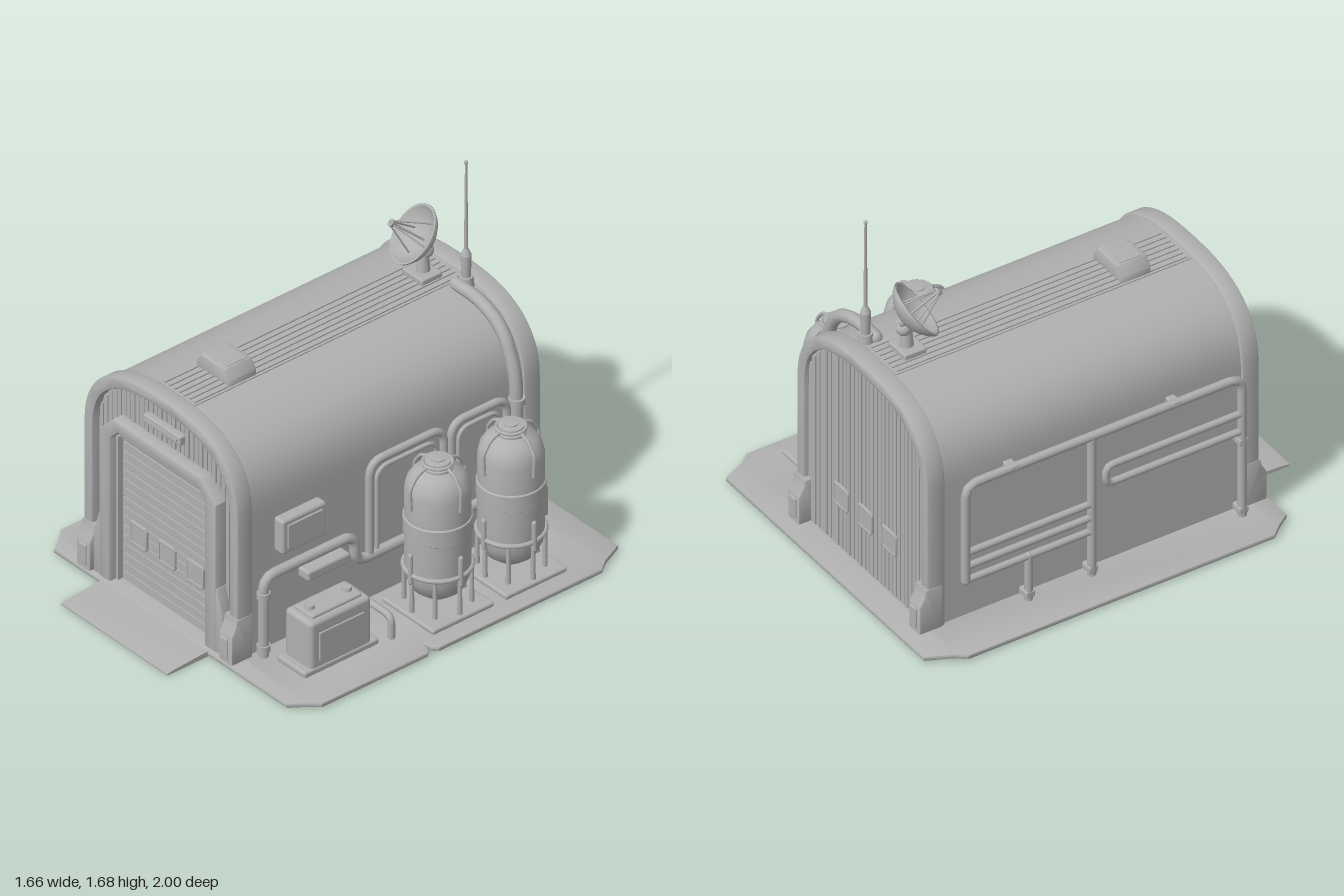
import * as THREE from 'three';
import { toCreasedNormals } from 'three/addons/utils/BufferGeometryUtils.js';
import { RoundedBoxGeometry } from 'three/addons/geometries/RoundedBoxGeometry.js';

const CX = -0.11; // centre line of the hut
const grey = new THREE.MeshStandardMaterial({ color: 0xb0b0b0, side: THREE.DoubleSide });
grey.name = 'grey';

const V = (x, y, z) => new THREE.Vector3(x, y, z);

function add(parent, name, geo, x = 0, y = 0, z = 0) {
  const mesh = new THREE.Mesh(geo, grey);
  mesh.name = name;
  mesh.position.set(x, y, z);
  parent.add(mesh);
  return mesh;
}
function group(parent, name, x = 0, y = 0, z = 0) {
  const g = new THREE.Group();
  g.name = name;
  g.position.set(x, y, z);
  parent.add(g);
  return g;
}
const box = (w, h, d, r = 0) => r ? new RoundedBoxGeometry(w, h, d, 2, r) : new THREE.BoxGeometry(w, h, d);
const cyl = (rt, rb, h, n = 20) => new THREE.CylinderGeometry(rt, rb, h, n);

// Extrude a list of [x, y] points along z
function extrude(pts, depth, bevel = 0, hole) {
  const shape = new THREE.Shape(pts.map(p => new THREE.Vector2(...p)));
  if (hole) shape.holes.push(new THREE.Path(hole.map(p => new THREE.Vector2(...p))));
  const geo = new THREE.ExtrudeGeometry(shape, {
    depth: depth - 2 * bevel, bevelEnabled: bevel > 0, bevelSize: bevel,
    bevelThickness: bevel, bevelOffset: -bevel, bevelSegments: 2 });
  geo.translate(0, 0, bevel);
  return toCreasedNormals(geo, 0.6);
}

// Pipe along points with rounded bends
function pipe(parent, name, pts, r, bend = 0.06) {
  const path = new THREE.CurvePath();
  let from = pts[0];
  for (let i = 1; i < pts.length; i++) {
    const p = pts[i], next = pts[i + 1];
    if (!next) { path.add(new THREE.LineCurve3(from, p)); break; }
    const a = p.clone().add(from.clone().sub(p).setLength(bend));
    const b = p.clone().add(next.clone().sub(p).setLength(bend));
    path.add(new THREE.LineCurve3(from, a));
    path.add(new THREE.QuadraticBezierCurve3(a, p, b));
    from = b;
  }
  add(parent, name, new THREE.TubeGeometry(path, pts.length > 2 ? 64 : 2, r, 10));
  for (const end of [pts[0], pts[pts.length - 1]])
    add(parent, name + 'End', new THREE.SphereGeometry(r, 10, 8), end.x, end.y, end.z);
}

// Hut outline: straight walls with a flattened arch on top
const Y0 = 0.7;
function arch(inset, n = 40) {
  const a = 0.49 - inset, b = 0.385 - inset, e = 2 / 2.6, pts = [[CX + a, 0.02]];
  for (let i = 0; i <= n; i++) {
    const t = Math.PI * i / n, c = Math.cos(t), s = Math.max(0, Math.sin(t));
    pts.push([CX + Math.sign(c) * a * Math.abs(c) ** e, Y0 + b * s ** e]);
  }
  pts.push([CX - a, 0.02]);
  return pts;
}
const archY = (x, inset) =>
  Y0 + (0.385 - inset) * (1 - Math.min(1, Math.abs(x - CX) / (0.49 - inset)) ** 2.6) ** (1 / 2.6);
const gate = (half, top, cut) => [[CX + half, 0.02], [CX + half, top - cut], [CX + half - cut, top],
  [CX - half + cut, top], [CX - half, top - cut], [CX - half, 0.02]];
const band = (outer, inner) => [...outer, ...inner.reverse()];

function buildGround(root) {
  // Slab with notched corners, open under the hut
  const pts = [[-0.74, -1], [-0.79, -0.89], [-0.83, -0.84], [-0.83, 0.67], [-0.785, 0.72], [-0.74, 0.785],
    [0.74, 0.785], [0.785, 0.72], [0.83, 0.67], [0.83, 0.1], [0.81, 0.08], [0.76, 0.07], [0.81, 0.06],
    [0.83, 0.04], [0.83, -0.84], [0.79, -0.89], [0.74, -1]].map(([x, z]) => [x, -z]);
  const hole = [[-0.57, 0.84], [0.35, 0.84], [0.35, -0.69], [-0.57, -0.69]];
  const geo = extrude(pts, 0.022, 0.006, hole).rotateX(-Math.PI / 2);
  add(root, 'groundSlab', geo, 0, 0.006, 0);
  const ramp = extrude([[0.74, 0], [1, 0], [1, 0.008], [0.97, 0.014], [0.74, 0.028]], 0.675);
  add(root, 'entryRamp', ramp.rotateY(-Math.PI / 2), 0.235, 0, 0);
}

function buildHut(root) {
  const hut = group(root, 'hut');
  add(hut, 'roofShell', extrude(band(arch(0.012), arch(0.03)), 1.5), 0, 0, -0.83);
  add(hut, 'frontRib', extrude(band(arch(0), arch(0.055)), 0.085, 0.012), 0, 0, 0.66);
  add(hut, 'backRib', extrude(band(arch(0), arch(0.055)), 0.09, 0.012), 0, 0, -0.89);

  // Corner boots
  const boot = extrude([[0, 0], [0.115, 0], [0.115, 0.14], [0.09, 0.185], [0.085, 0.22], [0, 0.22]], 0.085, 0.01);
  boot.rotateY(-Math.PI / 2).translate(0.0425, 0.02, 0);
  for (const s of [-1, 1]) {
    add(hut, 'frontBoot', boot, CX + s * 0.452, 0, 0.665);
    add(hut, 'backBoot', boot, CX + s * 0.452, 0, -0.815).rotation.y = Math.PI;
    add(hut, 'bootPlate', box(0.045, 0.1, 0.016, 0.006), CX + s * 0.45, 0.1, 0.78);
    add(hut, 'bootPlate', box(0.045, 0.1, 0.016, 0.006), CX + s * 0.45, 0.1, -0.93);
  }

  // Plank-clad end walls
  add(hut, 'frontWall', extrude(band(arch(0.04), gate(0.34, 0.82, 0.08)), 0.02), 0, 0, 0.685);
  add(hut, 'backWall', extrude(arch(0.04), 0.02), 0, 0, -0.865);
  for (let i = 0; i < 30; i++) {
    const x = CX + (i - 14.5) * 0.0287, top = archY(x, 0.055) - 0.004;
    const lowFront = Math.abs(x - CX) < 0.35 ? 0.8 : 0.02;
    const d = i % 3 === 1 ? 0.012 : 0.007;
    add(hut, 'frontPlank', box(0.022, top - lowFront, d), x, (top + lowFront) / 2, 0.706);
    add(hut, 'backPlank', box(0.022, top - 0.02, d), x, (top + 0.02) / 2, -0.866);
  }
  add(hut, 'frontVent', box(0.235, 0.045, 0.04, 0.008), CX, 0.928, 0.72);
  add(hut, 'ventSlot', box(0.2, 0.012, 0.006), CX, 0.928, 0.742);

  // Door with slats, frame and hatches
  const door = group(hut, 'door');
  add(door, 'doorFrame', extrude(band(gate(0.372, 0.845, 0.09), gate(0.3, 0.79, 0.05)), 0.085, 0.012), 0, 0, 0.68);
  add(door, 'doorPanel', box(0.62, 0.77, 0.015), CX, 0.405, 0.69);
  for (let i = 0; i < 16; i++) add(door, 'doorSlat', box(0.598, 0.04, 0.01), CX, 0.045 + i * 0.046, 0.699);
  const roller = add(door, 'doorRoller', cyl(0.022, 0.022, 0.54), CX, 0.765, 0.715);
  roller.rotation.z = Math.PI / 2;
  for (const s of [-1, 1]) {
    const jamb = extrude([[0, 0], [0.055, 0], [0.055, 0.2], [0.02, 0.32], [0, 0.32]], 0.08, 0.008);
    const m = add(door, 'jambFoot', jamb, CX + s * 0.355, 0.02, s > 0 ? 0.68 : 0.76);
    if (s < 0) m.rotation.y = Math.PI;
    add(door, 'doorTrack', box(0.014, 0.72, 0.03), CX + s * 0.293, 0.38, 0.715);
  }
  for (const x of [-0.18, 0, 0.18]) {
    for (const [z, o] of [[0.708, 1], [-0.872, -1]]) {
      const h = group(door, 'hatch', CX + x, 0.293, z);
      add(h, 'hatchFrame', extrude([[-0.055, -0.045], [-0.045, -0.057], [0.045, -0.057], [0.055, -0.045], [0.055, 0.045],
        [0.045, 0.057], [-0.045, 0.057], [-0.055, 0.045]], 0.016, 0.004,
      [[-0.042, -0.043], [0.042, -0.043], [0.042, 0.043], [-0.042, 0.043]]), 0, 0, -0.008);
      add(h, 'hatchPane', box(0.09, 0.09, 0.006), 0, 0, o * 0.001);
    }
  }

  // Ridge strip and roof vent
  add(hut, 'ridgeStrip', box(0.23, 0.02, 1.45), CX, 1.064, -0.07);
  for (let i = 0; i < 7; i++) add(hut, 'ridgeRib', box(0.014, 0.014, 1.43), CX - 0.096 + i * 0.032, 1.073, -0.07);
  add(hut, 'roofVent', extrude([[-0.107, 0], [0.107, 0], [0.105, 0.025], [0.075, 0.07], [-0.075, 0.07], [-0.105, 0.025]], 0.15, 0.008),
    CX, 1.075, 0.315);
  add(hut, 'roofVentLid', box(0.13, 0.008, 0.11, 0.003), CX, 1.145, 0.39);
}

function buildRoofGear(root) {
  // Satellite dish
  const dish = group(root, 'dish');
  add(dish, 'dishBase', box(0.13, 0.03, 0.11, 0.008), CX, 1.09, -0.665);
  add(dish, 'dishPost', cyl(0.022, 0.032, 0.1), CX, 1.14, -0.67);
  add(dish, 'dishJoint', new THREE.SphereGeometry(0.034, 16, 12), CX, 1.195, -0.685);
  const head = group(dish, 'dishHead', CX, 1.235, -0.69);
  head.quaternion.setFromUnitVectors(V(0, 1, 0), V(-0.05, 0.115, 0.13).normalize());
  const bowl = [[0.001, 0], [0.05, 0.008], [0.09, 0.026], [0.12, 0.05], [0.138, 0.074], [0.138, 0.08],
    [0.128, 0.08], [0.11, 0.056], [0.08, 0.034], [0.04, 0.02], [0.001, 0.016]].map(p => new THREE.Vector2(...p));
  add(head, 'dishBowl', toCreasedNormals(new THREE.LatheGeometry(bowl, 32), 0.7));
  add(head, 'dishHub', cyl(0.03, 0.02, 0.03), 0, -0.005, 0);
  for (let i = 0; i < 4; i++) {
    const a = i * Math.PI / 2 + 0.4, c = Math.cos(a), s = Math.sin(a);
    pipe(head, 'feedStrut', [V(c * 0.08, 0.035, s * 0.08), V(c * 0.015, 0.19, s * 0.015)], 0.004);
  }
  add(head, 'feedHorn', cyl(0.018, 0.01, 0.03, 12), 0, 0.19, 0);
  add(head, 'feedRod', cyl(0.005, 0.005, 0.2, 8), 0, 0.11, 0);

  // Whip antenna
  const mast = group(root, 'antenna', 0.045, 0, -0.77);
  add(mast, 'antennaFoot', cyl(0.03, 0.035, 0.05), 0, 1.085, 0);
  add(mast, 'antennaSleeve', cyl(0.023, 0.02, 0.11), 0, 1.16, 0);
  add(mast, 'antennaTaper', cyl(0.01, 0.023, 0.03), 0, 1.23, 0);
  add(mast, 'antennaRod', cyl(0.005, 0.009, 0.44, 10), 0, 1.455, 0);
  add(mast, 'antennaTip', new THREE.SphereGeometry(0.009, 10, 8), 0, 1.675, 0);
}

function buildTank(root, z) {
  const tank = group(root, 'tank', 0.585, 0, z);
  const profile = [[0.001, 0.08], [0.06, 0.09], [0.11, 0.13], [0.135, 0.19], [0.14, 0.24], [0.14, 0.4], [0.146, 0.405],
    [0.146, 0.48], [0.14, 0.485], [0.14, 0.61], [0.13, 0.655], [0.105, 0.69], [0.065, 0.712], [0.065, 0.722],
    [0.055, 0.725], [0.055, 0.748], [0.03, 0.752], [0.03, 0.757], [0.001, 0.757]].map(p => new THREE.Vector2(...p));
  add(tank, 'tankBody', toCreasedNormals(new THREE.LatheGeometry(profile, 32), 0.7));
  add(tank, 'tankPlate', box(0.33, 0.025, 0.33, 0.01), 0, 0.038, 0);
  add(tank, 'tankRing', new THREE.TorusGeometry(0.143, 0.011, 8, 32).rotateX(Math.PI / 2), 0, 0.235, 0);
  add(tank, 'capRing', new THREE.TorusGeometry(0.062, 0.008, 8, 24).rotateX(Math.PI / 2), 0, 0.738, 0);
  for (let i = 0; i < 8; i++) {
    const a = i * Math.PI / 4, c = Math.cos(a), s = Math.sin(a);
    const at = (r, y) => V(c * r, y, s * r);
    add(tank, 'tankLeg', cyl(0.009, 0.011, 0.19, 8), c * 0.14, 0.14, s * 0.14);
    if (i % 2) continue;
    pipe(tank, 'tankStrap', [at(0.144, 0.56), at(0.15, 0.66), at(0.11, 0.715), at(0.06, 0.735)], 0.008, 0.02);
    pipe(tank, 'tankClamp', [at(0.147, 0.2), at(0.147, 0.33)], 0.011);
  }
}

function buildRightSide(root) {
  for (const z of [-0.16, -0.555]) buildTank(root, z);
  const X = 0.41;
  // Duct curving down from the roof
  pipe(root, 'roofDuct', [V(0.03, 1.08, -0.73), V(0.19, 1.08, -0.73), V(0.33, 1.01, -0.73), V(0.41, 0.82, -0.73), V(0.415, 0.03, -0.73)], 0.029, 0.08);
  for (const y of [0.06, 0.27, 0.7]) add(root, 'ductCollar', cyl(0.036, 0.036, 0.03), 0.414, y, -0.73);
  // Wall pipes behind the tanks
  for (const [a, b] of [[0.06, -0.34], [-0.38, -0.68]]) {
    pipe(root, 'tankPipe', [V(X, 0.27, a), V(X, 0.735, a), V(X, 0.735, b), V(X, 0.27, b)], 0.018, 0.07);
    pipe(root, 'tankPipe', [V(X, 0.27, a - 0.04), V(X, 0.69, a - 0.04), V(X, 0.69, b + 0.04), V(X, 0.27, b + 0.04)], 0.01, 0.06);
  }
  pipe(root, 'supplyPipe', [V(X, 0.03, 0.63), V(X, 0.415, 0.63), V(X, 0.415, 0.14), V(X, 0.275, 0.14), V(X, 0.275, -0.7)], 0.023, 0.06);
  for (const y of [0.07, 0.33]) add(root, 'pipeCollar', cyl(0.029, 0.029, 0.03), X, y, 0.63);
  // Wall hatch and bracket
  add(root, 'wallHatch', box(0.06, 0.17, 0.24, 0.015), 0.395, 0.575, 0.42);
  add(root, 'wallHatchLid', box(0.014, 0.12, 0.19, 0.005), 0.425, 0.575, 0.42);
  add(root, 'wallBracket', box(0.07, 0.05, 0.23, 0.012), 0.4, 0.33, 0.295);
  // Generator
  const gen = group(root, 'generator', 0.56, 0, 0.41);
  add(gen, 'generatorBody', box(0.17, 0.25, 0.33, 0.022), 0, 0.155, 0);
  add(gen, 'generatorTop', box(0.12, 0.025, 0.27, 0.01), 0, 0.282, 0);
  add(gen, 'generatorFoot', box(0.18, 0.03, 0.4, 0.01), 0, 0.04, 0);
  add(gen, 'generatorPanel', box(0.01, 0.14, 0.24, 0.004), 0.086, 0.15, 0);
  for (const z of [-0.1, 0.1]) add(gen, 'generatorCap', cyl(0.02, 0.024, 0.02), 0, 0.3, z);
  pipe(root, 'smallHoop', [V(0.49, 0.03, 0.145), V(0.49, 0.135, 0.145), V(0.65, 0.135, 0.145), V(0.65, 0.03, 0.145)], 0.016, 0.04);
}

function buildLeftSide(root) {
  const X = -0.642;
  pipe(root, 'mainRail', [V(X, 0.25, -0.73), V(X, 0.735, -0.73), V(X, 0.735, 0.63), V(X, 0.03, 0.63)], 0.02);
  pipe(root, 'middlePost', [V(X, 0.03, -0.11), V(X, 0.735, -0.11)], 0.02);
  for (const y of [0.25, 0.32, 0.39]) pipe(root, 'lowerBar', [V(X, y, -0.73), V(X, y, -0.11)], 0.016);
  pipe(root, 'lowerDrain', [V(X, 0.03, -0.42), V(X, 0.25, -0.42)], 0.018);
  pipe(root, 'upperLoop', [V(X, 0.55, 0.63), V(X, 0.55, -0.04), V(X, 0.46, -0.04), V(X, 0.46, 0.63)], 0.016, 0.035);
  for (const [y, z] of [[0.735, -0.5], [0.735, 0.3], [0.41, 0.63], [0.06, 0.63], [0.06, -0.11], [0.06, -0.42]])
    add(root, 'pipeBracket', box(0.06, 0.035, 0.045, 0.008), X + 0.012, y, z);
}

export function createModel() {
  const root = new THREE.Group();
  root.name = 'outpostHangar';
  buildGround(root);
  buildHut(root);
  buildRoofGear(root);
  buildRightSide(root);
  buildLeftSide(root);
  return root;
}
